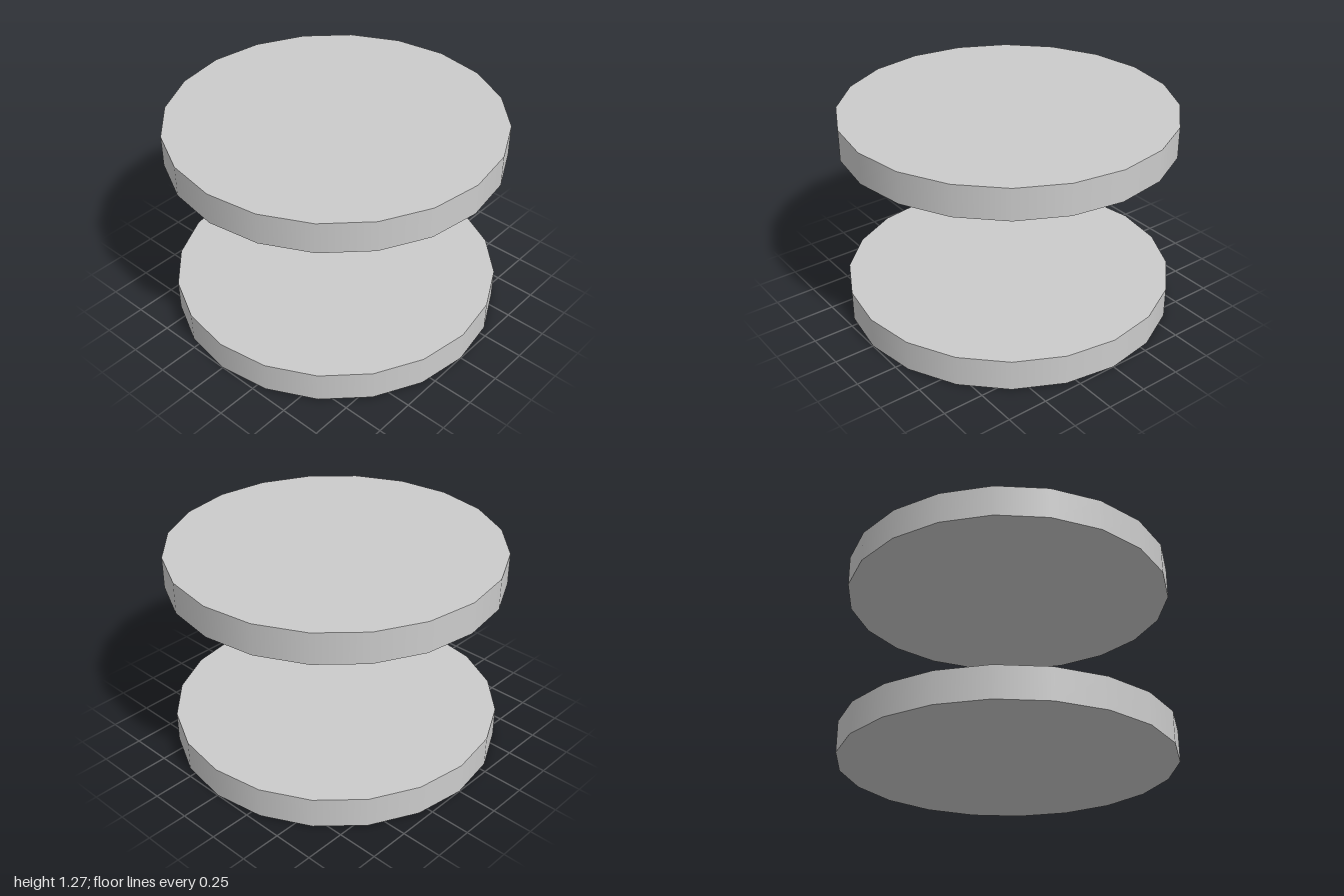
import * as THREE from 'three';

const RADIUS = 1;
const THICKNESS = 0.19;
const SIDES = 20;
const LIFT = 1.085; // underside of the upper disc

export function createModel() {
  const model = new THREE.Group();
  model.name = 'discPair';

  const material = new THREE.MeshStandardMaterial({ color: 0xcccccc });

  // One smooth-sided disc resting on y = 0, shared by both parts
  const disc = new THREE.CylinderGeometry(RADIUS, RADIUS, THICKNESS, SIDES);
  disc.translate(0, THICKNESS / 2, 0);

  // Two matching discs, one floating above the other
  for (const [name, y] of [['lowerDisc', 0], ['upperDisc', LIFT]]) {
    const mesh = new THREE.Mesh(disc, material);
    mesh.name = name;
    mesh.position.y = y;
    model.add(mesh);
  }

  return model;
}
